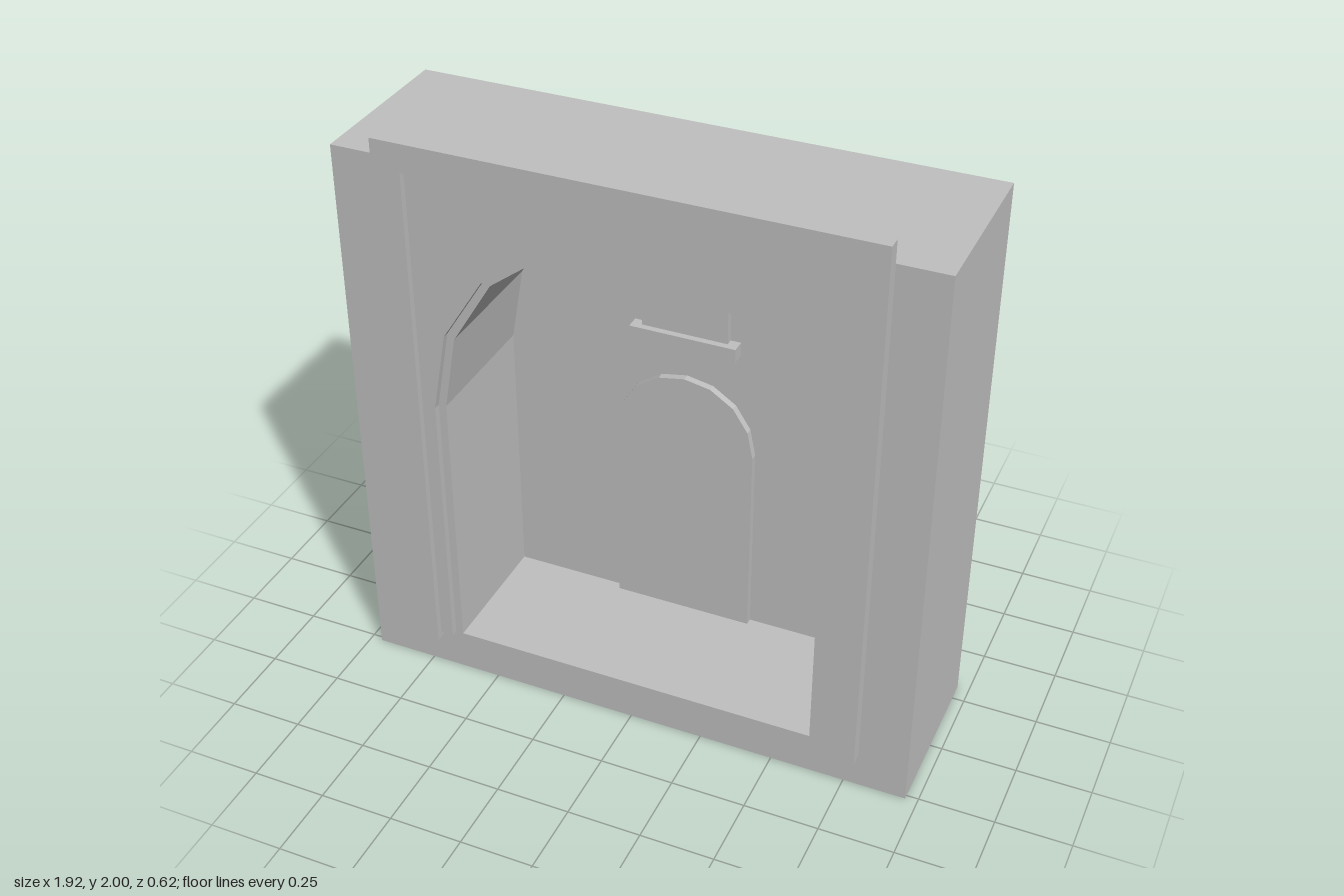
import * as THREE from 'three';

const FRONT = 0.265;   // front plane of the wall block
const NICHE = -0.195;  // back plane of the niche
const FLOOR = 0.145;   // niche floor height

// Right half of each arch, from the springing up to the apex
const OUTER_ARCH = [[0.655, 1.08], [0.605, 1.355], [0.465, 1.577], [0.25, 1.737], [0, 1.81]];
const INNER_ARCH = [[0.628, 1.08], [0.583, 1.337], [0.447, 1.56], [0.242, 1.715], [0, 1.787]];
const DOOR_ARCH = [[0.241, 0.84], [0.222, 0.935], [0.17, 1.015], [0.09, 1.068], [0, 1.085]];

// Mirrors a half arch and closes it down to the given base height
function archPoints(half, base) {
  const right = [[half[0][0], base], ...half];
  const left = right.slice(0, -1).reverse().map(([x, y]) => [-x, y]);
  return [...right, ...left].map(([x, y]) => new THREE.Vector2(x, y));
}

function rectShape(w, y0, y1) {
  return new THREE.Shape([[-w, y0], [w, y0], [w, y1], [-w, y1]].map(([x, y]) => new THREE.Vector2(x, y)));
}

export function createModel() {
  const group = new THREE.Group();
  const stone = new THREE.MeshStandardMaterial({ color: 0xc0c0c0, side: THREE.DoubleSide });
  stone.name = 'grey stone';

  function add(name, geometry) {
    const mesh = new THREE.Mesh(geometry, stone);
    mesh.name = name;
    group.add(mesh);
  }
  const extrude = (shape, z0, z1) =>
    new THREE.ExtrudeGeometry(shape, { depth: z1 - z0, bevelEnabled: false }).translate(0, 0, z0);
  const box = (x0, x1, y0, y1, z0, z1) =>
    new THREE.BoxGeometry(x1 - x0, y1 - y0, z1 - z0)
      .translate((x0 + x1) / 2, (y0 + y1) / 2, (z0 + z1) / 2);
  // Keeps only a run of box sides, ordered +x, -x, +y, -y, +z, -z
  function keepSides(geometry, first, last) {
    geometry.setIndex(Array.from(geometry.index.array).slice(first * 6, last * 6));
    geometry.clearGroups();
    return geometry;
  }

  // Wall block with the arched niche cut into it
  const wall = rectShape(0.96, 0, 1.925);
  wall.holes.push(new THREE.Path(archPoints(INNER_ARCH, FLOOR)));
  add('nicheWall', extrude(wall, NICHE, FRONT));
  add('backWall', box(-0.96, 0.96, 0, 1.925, -0.31, NICHE));

  // Thin raised panel around the arch
  const panel = new THREE.Shape([
    [0.655, FLOOR], [0.70, FLOOR], [0.70, 1.905], [-0.70, 1.905], [-0.70, FLOOR], [-0.655, FLOOR],
  ].map(([x, y]) => new THREE.Vector2(x, y)).concat(archPoints(OUTER_ARCH, FLOOR).reverse().slice(1, -1)));
  add('archPanel', extrude(panel, FRONT, FRONT + 0.023));

  // Portal frame, hollow and open at the back
  for (const [name, x0, x1] of [['leftPost', 0.70, 0.795], ['rightPost', -0.795, -0.70]]) {
    add(name, keepSides(box(x0, x1, 0.125, 2, FRONT, 0.31), 0, 5));
  }
  add('lintel', keepSides(box(-0.70, 0.70, 1.905, 2, FRONT, 0.31), 2, 5));

  // Door, window and sill standing out from the niche back
  add('door', extrude(new THREE.Shape(archPoints(DOOR_ARCH, FLOOR)), NICHE, NICHE + 0.025));
  add('window', box(-0.147, 0.147, 1.255, 1.52, NICHE, NICHE + 0.025));
  add('windowSill', box(-0.182, 0.182, 1.207, 1.255, NICHE, NICHE + 0.047));

  return group;
}
